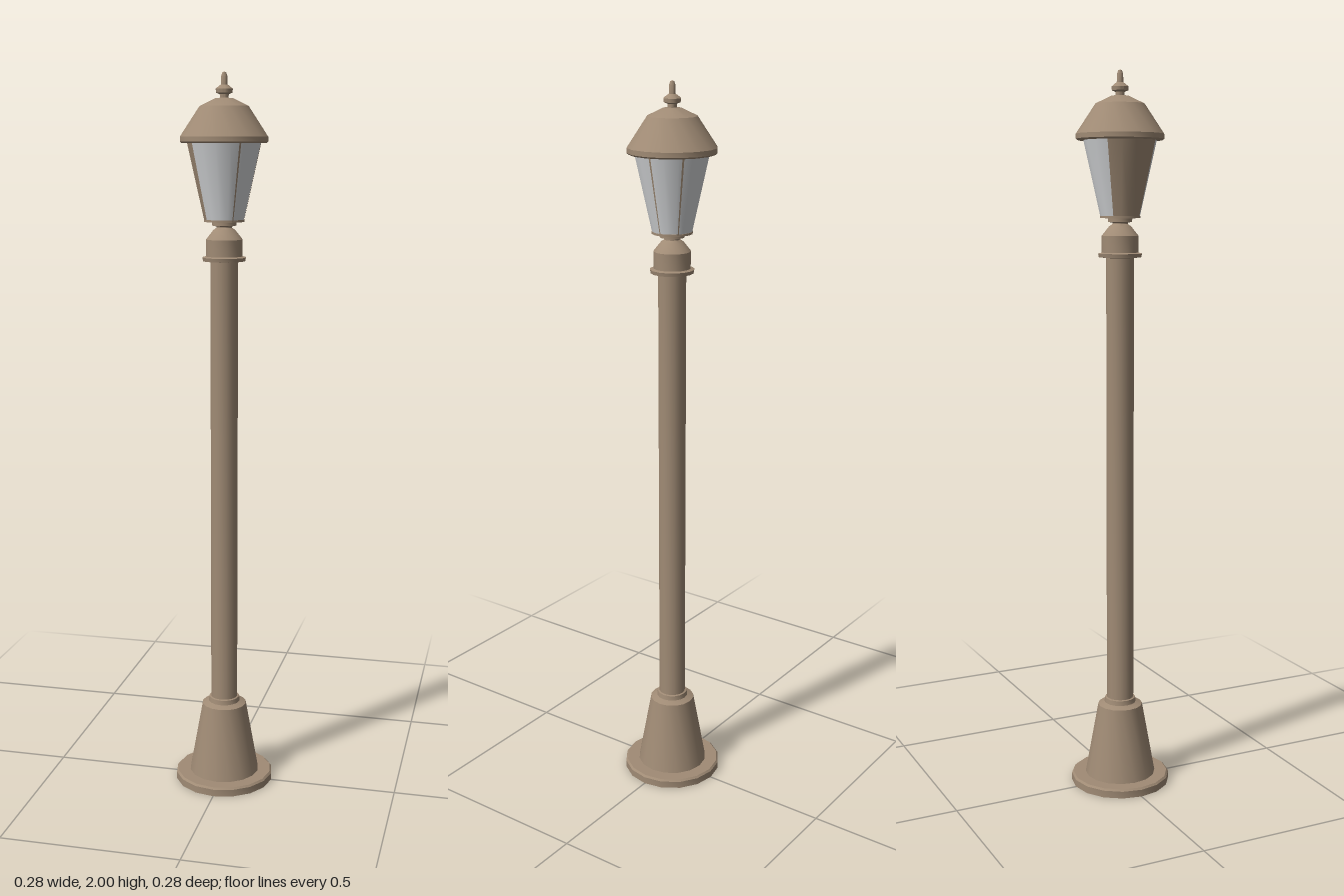
import * as THREE from 'three';
import { toCreasedNormals } from 'three/addons/utils/BufferGeometryUtils.js';

const SIDES = 16;
const rad = THREE.MathUtils.degToRad;

export function createModel() {
  const lamp = new THREE.Group();
  lamp.name = 'streetLamp';

  const metal = new THREE.MeshStandardMaterial({ color: 0xa08b75 });
  metal.name = 'bronzeMetal';
  const glass = new THREE.MeshStandardMaterial({ color: 0xd4d6d8 });
  glass.name = 'frostedGlass';

  // Turned part from [radius, height] pairs, listed bottom to top
  function turned(name, profile, material = metal, sides = SIDES, start = 0, sweep = Math.PI * 2) {
    const points = profile.map(([r, y]) => new THREE.Vector2(r, y));
    const geometry = new THREE.LatheGeometry(points, sides, start, sweep);
    const mesh = new THREE.Mesh(toCreasedNormals(geometry, rad(28)), material);
    mesh.name = name;
    lamp.add(mesh);
    return mesh;
  }

  // Foot and post
  turned('baseDisc', [[0, 0], [0.14, 0], [0.14, 0.02], [0.135, 0.025], [0, 0.025]]);
  turned('pedestal', [[0.1, 0.024], [0.063, 0.23], [0.045, 0.237], [0.043, 0.25], [0.036, 0.252]]);
  turned('post', [[0.038, 0.24], [0.038, 1.51]]);

  // Collar and neck below the lantern
  turned('collarRing', [[0.036, 1.503], [0.058, 1.505], [0.06, 1.515], [0.049, 1.518]]);
  turned('collar', [[0.05, 1.51], [0.05, 1.563], [0.03, 1.588], [0.021, 1.594], [0.021, 1.602]]);
  turned('lanternPlate', [[0.018, 1.597], [0.033, 1.6], [0.033, 1.61], [0.055, 1.61], [0.055, 1.616], [0, 1.616]]);

  // Glass cone, with thin ribs and a solid back panel
  const glassLow = [0.053, 1.612], glassHigh = [0.1, 1.822];
  turned('glassShade', [glassLow, glassHigh], glass);
  const skin = [[glassLow[0] + 0.001, glassLow[1]], [glassHigh[0] + 0.001, glassHigh[1]]];
  for (const angle of [38, 90, 142]) {
    turned('glassRib', skin, metal, 1, rad(angle - 1.5), rad(3));
  }
  turned('backPanel', skin, metal, 4, rad(225), rad(90));

  // Domed roof with closed underside
  turned('roof', [
    [0, 1.82], [0.114, 1.816], [0.119, 1.82], [0.119, 1.833],
    [0.066, 1.912], [0.024, 1.932], [0, 1.934],
  ]);

  // Finial
  turned('finial', [
    [0.012, 1.928], [0.012, 1.942], [0.022, 1.946], [0.023, 1.956],
    [0.015, 1.963], [0.009, 1.967], [0.008, 1.99], [0.005, 1.998], [0, 2],
  ]);

  return lamp;
}
